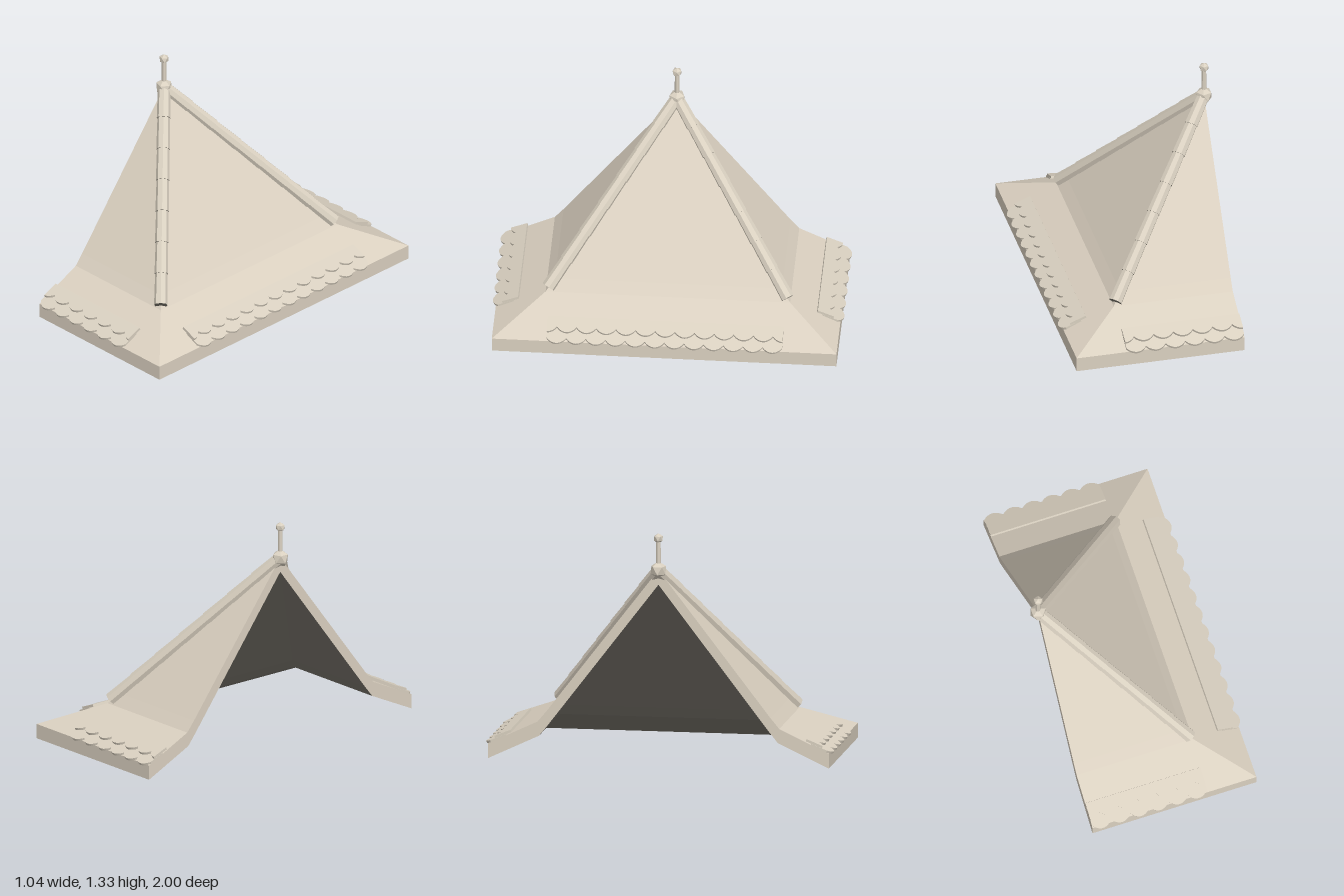
import * as THREE from 'three';

const APEX_X = -0.48;

function material(name, color) {
  const m = new THREE.MeshStandardMaterial({ color });
  m.name = name;
  return m;
}

// Outer and inner roof profiles: [distance from apex, height]
const OUTER = [[0, 1.115], [0.645, 0.28], [0.695, 0.22], [0.98, 0.085]];
const INNER = [[0, 1.03], [0.637, 0.2], [0.687, 0.138], [0.98, 0]];
const DIRS = [[0, 1], [1, 1], [1, -1], [0, -1]];

// Sweeps a profile round the three sides of the roof, with optional cut edges at the back
function roofGeometry(profile, withCuts) {
  const pos = [];
  const at = (p, k) => new THREE.Vector3(APEX_X + DIRS[k][0] * p[0], p[1], DIRS[k][1] * p[0]);
  const tri = (a, b, c) => {
    const area = new THREE.Vector3().crossVectors(b.clone().sub(a), c.clone().sub(a)).length();
    if (area > 1e-8) for (const p of [a, b, c]) pos.push(p.x, p.y, p.z);
  };
  const quad = (a, b, c, d) => { tri(a, b, c); tri(a, c, d); };
  for (let k = 0; k < 3; k++) {
    for (let i = 0; i < profile.length - 1; i++) {
      quad(at(profile[i], k), at(profile[i + 1], k), at(profile[i + 1], k + 1), at(profile[i], k + 1));
    }
  }
  for (let i = 0; withCuts && i < OUTER.length - 1; i++) {
    quad(at(OUTER[i], 0), at(INNER[i], 0), at(INNER[i + 1], 0), at(OUTER[i + 1], 0));
    quad(at(OUTER[i], 3), at(OUTER[i + 1], 3), at(INNER[i + 1], 3), at(INNER[i], 3));
  }
  const g = new THREE.BufferGeometry();
  g.setAttribute('position', new THREE.Float32BufferAttribute(pos, 3));
  g.computeVertexNormals();
  return g;
}

// Thin strip of tiles with a scalloped lower edge, from u0 to u1
function tileStrip(u0, u1, length, count, shift) {
  const shape = new THREE.Shape();
  const steps = count * 10;
  const depth = 0.034;
  shape.moveTo(u0, length);
  for (let i = 0; i <= steps; i++) {
    const wave = Math.pow(Math.abs(Math.sin(Math.PI * (i / 10 + shift))), 0.75);
    shape.lineTo(u0 + (u1 - u0) * i / steps, depth * (1 - wave));
  }
  shape.lineTo(u1, length);
  shape.closePath();
  return new THREE.ExtrudeGeometry(shape, { depth: 0.014, bevelEnabled: false });
}

// Eight-sided tapered cylinder with flat faces
function facetedCylinder(rTop, rBottom, height) {
  const g = new THREE.CylinderGeometry(rTop, rBottom, height, 8).toNonIndexed();
  g.computeVertexNormals();
  return g;
}

export function createModel() {
  const model = new THREE.Group();
  const roofMat = material('roof stone', 0xdad0c0);
  const trimMat = material('tile stone', 0xd9d0c0);
  const darkMat = material('dark underside', 0x78746b);
  const add = (parent, name, geo, mat) => {
    const mesh = new THREE.Mesh(geo, mat);
    mesh.name = name;
    parent.add(mesh);
    return mesh;
  };

  // Roof shell: pale slopes and fascia, dark underside
  add(model, 'roofSlopes', roofGeometry([...OUTER, INNER[3]], true), roofMat);
  add(model, 'roofUnderside', roofGeometry([...INNER].reverse(), false), darkMat);

  // Two rows of scalloped tiles along each eave
  const sides = [
    { name: 'frontTiles', turn: 0, u0: 0, u1: 0.687, count: 6 },
    { name: 'leftTiles', turn: Math.PI / 2, u0: -0.67, u1: 0.67, count: 12 },
    { name: 'backTiles', turn: Math.PI, u0: -0.687, u1: 0, count: 6 },
  ];
  const rows = [
    { name: 'lowerRow', d: 0.995, y: 0.078, length: 0.13, shift: 0 },
    { name: 'upperRow', d: 0.94, y: 0.116, length: 0.1, shift: 0.5 },
  ];
  const tilt = THREE.MathUtils.degToRad(22);
  for (const s of sides) {
    const side = new THREE.Group();
    side.name = s.name;
    side.position.x = APEX_X;
    side.rotation.y = s.turn;
    for (const r of rows) {
      const strip = add(side, r.name, tileStrip(s.u0, s.u1, r.length, s.count, r.shift), trimMat);
      strip.position.set(0, r.y, r.d);
      strip.rotation.x = -Math.PI / 2 + tilt;
    }
    model.add(side);
  }

  // Ridge caps: slightly tapered segments down both hips, dark at their lower ends
  const segments = 7;
  for (const sign of [1, -1]) {
    const ridge = new THREE.Group();
    ridge.name = sign > 0 ? 'frontRidge' : 'backRidge';
    const top = new THREE.Vector3(APEX_X, 1.115, 0);
    const end = new THREE.Vector3(0.2, 0.245, sign * 0.68);
    const axis = end.clone().sub(top);
    const len = axis.length() / segments;
    const up = axis.clone().normalize().negate();
    for (let i = 0; i < segments; i++) {
      const geo = facetedCylinder(0.035, 0.039, len * 1.03);
      const cap = add(ridge, 'ridgeCap', geo, [trimMat, trimMat, darkMat]);
      cap.position.copy(top).addScaledVector(axis, (i + 0.5) / segments);
      cap.quaternion.setFromUnitVectors(new THREE.Vector3(0, 1, 0), up);
    }
    model.add(ridge);
  }

  // Finial: faceted knob, post and small top knob
  const knob = (name, r, y) => {
    const geo = new THREE.IcosahedronGeometry(r, 0).rotateZ(-Math.atan(2 / (1 + Math.sqrt(5))));
    add(model, name, geo, trimMat).position.set(APEX_X, y, 0);
  };
  knob('finialBase', 0.05, 1.115);
  knob('finialTop', 0.029, 1.298);
  add(model, 'finialPost', facetedCylinder(0.013, 0.014, 0.15), trimMat).position.set(APEX_X, 1.21, 0);

  return model;
}
